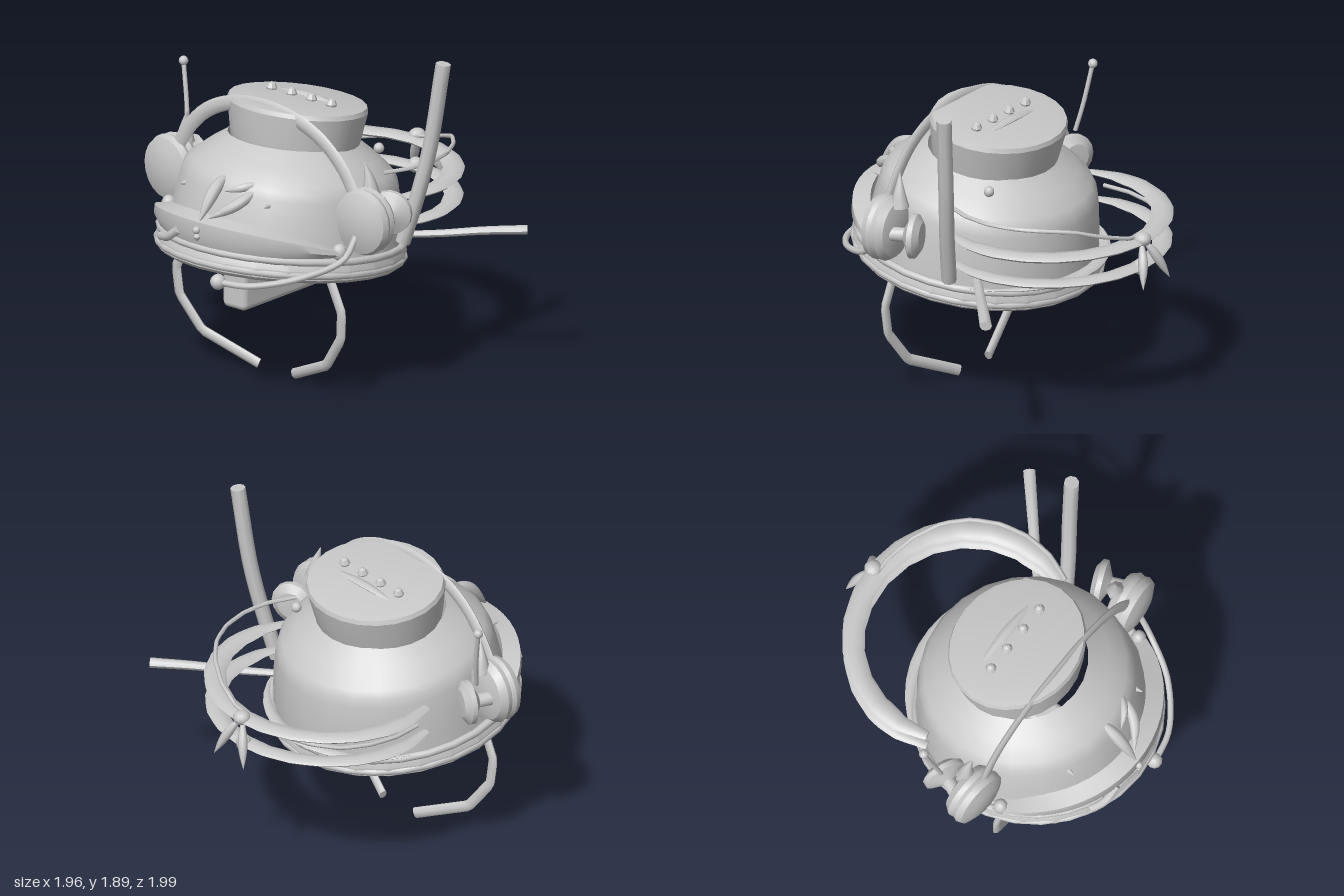
import * as THREE from 'three';
import { toCreasedNormals } from 'three/addons/utils/BufferGeometryUtils.js';
import { RoundedBoxGeometry } from 'three/addons/geometries/RoundedBoxGeometry.js';

const CX = -0.09; // the hat's own middle line
const V = (p) => new THREE.Vector3(...p);
const flip = (p) => [2 * CX - p[0], p[1], p[2]];

export function createModel() {
  const root = new THREE.Group();
  root.name = 'gadgetHat';
  const clay = new THREE.MeshStandardMaterial({ color: 0xc8c8c8, side: THREE.DoubleSide });
  clay.name = 'clayGrey';

  const add = (name, geo, parent = root, crease = 0.7) => {
    const mesh = new THREE.Mesh(crease ? toCreasedNormals(geo, crease) : geo, clay);
    mesh.name = name;
    parent.add(mesh);
    return mesh;
  };
  const lathe = (name, pts, parent, seg = 24) =>
    add(name, new THREE.LatheGeometry(pts.map((p) => new THREE.Vector2(...p)), seg), parent, 0.5);
  const ball = (name, p, r) => {
    const mesh = add(name, new THREE.SphereGeometry(r, 10, 8), root, 0);
    mesh.position.set(...p);
    return mesh;
  };
  // tube along points with closed ends; profile(t) scales its thickness, squash flattens it
  const rod = (name, pts, r, { profile = () => 1, squash = [1, 1, 1], seg = 20, sides = 8, straight = false } = {}) => {
    let curve;
    if (straight) {
      curve = new THREE.CurvePath();
      for (let i = 1; i < pts.length; i++) curve.add(new THREE.LineCurve3(V(pts[i - 1]), V(pts[i])));
    } else curve = new THREE.CatmullRomCurve3(pts.map(V));
    const geo = new THREE.TubeGeometry(curve, seg, r, sides);
    const pos = geo.attributes.position;
    const v = new THREE.Vector3();
    const sq = V(squash);
    for (let i = 0; i <= seg; i++) {
      // the rings beside the ends move out to them, and the end rings shrink to close the caps
      const t = i <= 1 ? 0 : i >= seg - 1 ? 1 : i / seg;
      const s = i === 0 || i === seg ? 0 : profile(t);
      const from = curve.getPointAt(i / seg);
      const to = curve.getPointAt(t);
      for (let j = 0; j <= sides; j++) {
        const k = i * (sides + 1) + j;
        v.fromBufferAttribute(pos, k).sub(from).multiplyScalar(s).multiply(sq).add(to);
        pos.setXYZ(k, v.x, v.y, v.z);
      }
    }
    return add(name, geo, root, 0.9);
  };
  const spindle = (t) => Math.sin(Math.PI * t);
  const thorn = (t) => 1 - t * 0.95;

  // hat, hollow and leaning back
  const hat = new THREE.Group();
  hat.name = 'hat';
  hat.position.set(CX, 0.72, 0.225);
  hat.rotation.x = -0.13;
  root.add(hat);
  lathe('hatBody', [[0.65, 0.05], [0.64, 0.18], [0.625, 0.3], [0.607, 0.4], [0.593, 0.45], [0.565, 0.49], [0.48, 0.56], [0.365, 0.64]], hat);
  const rim = new THREE.Group();
  rim.name = 'rim';
  rim.position.z = 0.025;
  rim.scale.z = 1.03;
  hat.add(rim);
  lathe('rimBand', [[0.6, 0.06], [0.6, -0.02], [0.66, -0.03], [0.685, -0.01], [0.69, 0.04], [0.67, 0.09], [0.62, 0.1]], rim);
  [[0.675, 0.015], [0.67, 0.09]].forEach(([r, h], i) => {
    const t = add('rimCord' + (i + 1), new THREE.TorusGeometry(r, 0.022, 8, 28), rim, 0);
    t.rotation.x = Math.PI / 2;
    t.position.y = h;
  });
  const crown = lathe('crown', [[0.37, 0.61], [0.38, 0.65], [0.41, 0.82], [0.4, 0.845], [0.36, 0.852], [0, 0.858]], hat);
  crown.scale.z = 0.9;
  crown.position.z = -0.015;

  // crown top: four pegs and a low ridge
  for (let i = 0; i < 4; i++) {
    const peg = lathe('crownPeg', [[0.024, 0], [0.032, 0.02], [0.02, 0.045], [0, 0.055]], hat, 8);
    peg.position.set(-0.21 + i * 0.146, 0.845, -0.03);
  }
  rod('crownRidge', [[-0.34, 1.548, 0.02], [CX, 1.562, 0.02], [0.17, 1.548, 0.02]], 0.03, { profile: spindle, squash: [1, 0.5, 1] });

  // visor: tapering crescent round the front
  const N = 24;
  const verts = [];
  const index = [];
  for (let i = 0; i <= N; i++) {
    const u = (i / N) * 2 - 1;
    const a = u * 1.3;
    const w = 1 - u * u;
    const low = 0.87 + 0.04 * w;
    const high = low + 0.02 + 0.13 * w;
    [[0.67, low], [0.695, (low + high) / 2], [0.69, high], [0.59, high + 0.02 * w], [0.6, low]].forEach(([r, y]) =>
      verts.push(CX + r * Math.sin(a), y, 0.255 + r * Math.cos(a)));
    for (let j = 0; j < 5 && i < N; j++) {
      const p = i * 5 + j;
      const q = i * 5 + ((j + 1) % 5);
      index.push(p, p + 5, q, q, p + 5, q + 5);
    }
  }
  const visor = new THREE.BufferGeometry();
  visor.setAttribute('position', new THREE.Float32BufferAttribute(verts, 3));
  visor.setIndex(index);
  add('visor', visor);

  // headphone band, flat from front to back
  rod('headBand', [[-0.74, 1.2, 0.37], [-0.66, 1.33, 0.37], [-0.53, 1.46, 0.375], [-0.35, 1.55, 0.38], [CX, 1.59, 0.385],
    ...[[-0.35, 1.55, 0.38], [-0.53, 1.46, 0.375], [-0.66, 1.33, 0.37], [-0.74, 1.2, 0.37]].map(flip)],
  0.043, { squash: [1, 1, 0.4], seg: 32 });

  // parts on both sides
  const claw = [[-0.6, 0.78, 0.43], [-0.61, 0.71, 0.43], [-0.695, 0.53, 0.43], [-0.68, 0.37, 0.42], [-0.545, 0.18, 0.385], [-0.22, 0.03, 0.28]];
  for (const [side, m, turn] of [['right', (p) => p, 1], ['left', flip, -1]]) {
    const ear = new THREE.Group();
    ear.name = side + 'Earphone';
    ear.position.set(...m([-0.795, 1.07, 0.345]));
    ear.rotation.y = -0.1 * turn;
    root.add(ear);
    const cup = lathe(side + 'EarCup', [[0, -0.09], [0.1, -0.088], [0.16, -0.07], [0.188, -0.03], [0.18, 0], [0.19, 0.025], [0.175, 0.06], [0.11, 0.085], [0, 0.095]], ear, 20);
    cup.rotation.x = Math.PI / 2;
    cup.scale.x = 0.94;
    const knob = lathe(side + 'EarKnob', [[0, -0.06], [0.08, -0.055], [0.125, -0.025], [0.125, 0.005], [0.07, 0.03], [0.04, 0.045], [0.04, 0.15]], ear, 16);
    knob.rotation.x = Math.PI / 2;
    knob.rotation.z = 0.3 * turn;
    knob.position.set(-0.03 * turn, 0, -0.19);
    rod(side + 'EarHorn', [[-0.77, 1.2, 0.27], [-0.765, 1.28, 0.275], [-0.74, 1.39, 0.29]].map(m), 0.055, { profile: thorn });
    ball(side + 'VisorKnob', m([-0.715, 0.9, 0.47]), 0.042).scale.y = 1.2;
    rod(side + 'Claw', claw.map(m), 0.031, { straight: true, seg: 32, squash: [1, 1, 0.6] });
    rod(side + 'Stud', [[-0.37, 1.15, 0.6], [-0.385, 1.155, 0.66], [-0.4, 1.16, 0.74]].map(m), 0.045, { profile: thorn, seg: 8 });
    rod(side + 'BackSpike', [[CX, 1.09, -0.89], [-0.14, 1.0, -0.94], [-0.21, 0.84, -0.998]].map(m), 0.027, { profile: spindle });
  }

  // aerial and microphone
  rod('aerial', [[-0.85, 1.2, 0.16], [-0.88, 1.35, 0.13], [-0.93, 1.59, 0.1]], 0.013);
  ball('aerialTip', [-0.93, 1.59, 0.1], 0.027);
  rod('microphoneBoom', [[0.61, 1.0, 0.42], [0.595, 0.88, 0.5], [0.47, 0.8, 0.72], [0.25, 0.75, 0.9], [0.06, 0.745, 0.95]], 0.018);
  ball('microphone', [0.06, 0.745, 0.945], 0.045);

  // loops behind the hat
  const loop = (name, r, from, to, yAt, { rx = 0.63, rz = 0.6, cz = -0.27, ...rest } = {}) => {
    const pts = [];
    for (let i = 0; i <= 14; i++) {
      const a = from + ((to - from) * i) / 14;
      pts.push([CX + rx * Math.cos(a), yAt(a), cz - rz * Math.sin(a)]);
    }
    return rod(name, pts, r, { seg: 42, straight: true, ...rest });
  };
  const tapered = { squash: [1, 0.35, 1], profile: (t) => Math.min(1, 0.45 + 5 * Math.min(t, 1 - t)) };
  loop('upperBackLoop', 0.062, -0.42, Math.PI + 0.35, () => 1.07, tapered);
  loop('lowerBackLoop', 0.055, -0.42, Math.PI + 0.35, () => 0.915, tapered);
  loop('backWire', 0.012, -0.5, Math.PI + 0.2, (a) => (a < 1.57
    ? 1.08 + 0.15 * Math.min(1, (1.57 - a) * 1.3)
    : 1.08 - 0.08 * Math.min(1, (a - 1.57) * 1.1)));
  // crescent round the back of the hat
  loop('backCrescent', 0.04, 0.45, Math.PI - 0.45, (a) => 0.8 - 0.04 * Math.sin(a),
    { rx: 0.66, rz: 0.64, cz: 0.17, profile: spindle, squash: [1, 0.4, 1] });
  ball('upperBackKnot', [CX, 1.085, -0.9], 0.05).scale.y = 0.8;
  ball('lowerBackKnot', [CX, 0.915, -0.885], 0.045);
  ball('domeBead', [0.3, 1.3, -0.13], 0.03);

  // tall pole and side rod
  rod('tallPole', [[0.55, 0.83, -0.045], [0.62, 1.1, -0.085], [0.68, 1.4, -0.125], [0.745, 1.885, -0.16]], 0.043);
  rod('sideRod', [[0.42, 0.82, -0.14], [0.6, 0.825, -0.3], [0.78, 0.84, -0.46], [0.96, 0.845, -0.62]], 0.034,
    { profile: (t) => 0.7 + 0.3 * t, squash: [1, 0.8, 1] });

  // ornament on the front
  rod('frontHorn', [[CX, 1.29, 0.64], [CX, 1.22, 0.79], [CX, 1.05, 0.94]], 0.036, { profile: spindle });
  rod('frontTwigUpper', [[0.14, 1.265, 0.62], [0.05, 1.235, 0.74], [-0.04, 1.21, 0.79]], 0.025, { profile: spindle });
  rod('frontTwigLower', [[0.13, 1.25, 0.64], [0.07, 1.16, 0.79], [-0.06, 1.07, 0.9]], 0.032, { profile: spindle });
  ball('frontBead', [CX, 1.015, 0.955], 0.022);
  rod('frontPin', [[CX, 1.0, 0.95], [CX, 0.95, 0.95]], 0.02, { profile: spindle, seg: 8 });
  rod('visorBar', [[-0.42, 0.885, 0.87], [-0.34, 0.91, 0.91], [-0.25, 0.975, 0.92]], 0.025);

  // block and bent pipe under the hat
  const block = add('innerBlock', new RoundedBoxGeometry(0.17, 0.32, 0.72, 3, 0.035), root, 0);
  block.position.set(CX, 0.63, 0.29);
  rod('innerPipe', [[0.04, 0.9, 0.3], [0.03, 0.72, 0.24], [0.02, 0.64, 0.12], [-0.01, 0.6, 0.0]], 0.04);
  rod('blockThorn', [[CX, 0.6, -0.02], [CX, 0.565, -0.08], [CX, 0.535, -0.15]], 0.03, { profile: thorn });
  rod('hangingPin', [[-0.41, 0.8, 0.6], [-0.41, 0.62, 0.58]], 0.01, { profile: thorn });
  return root;
}
